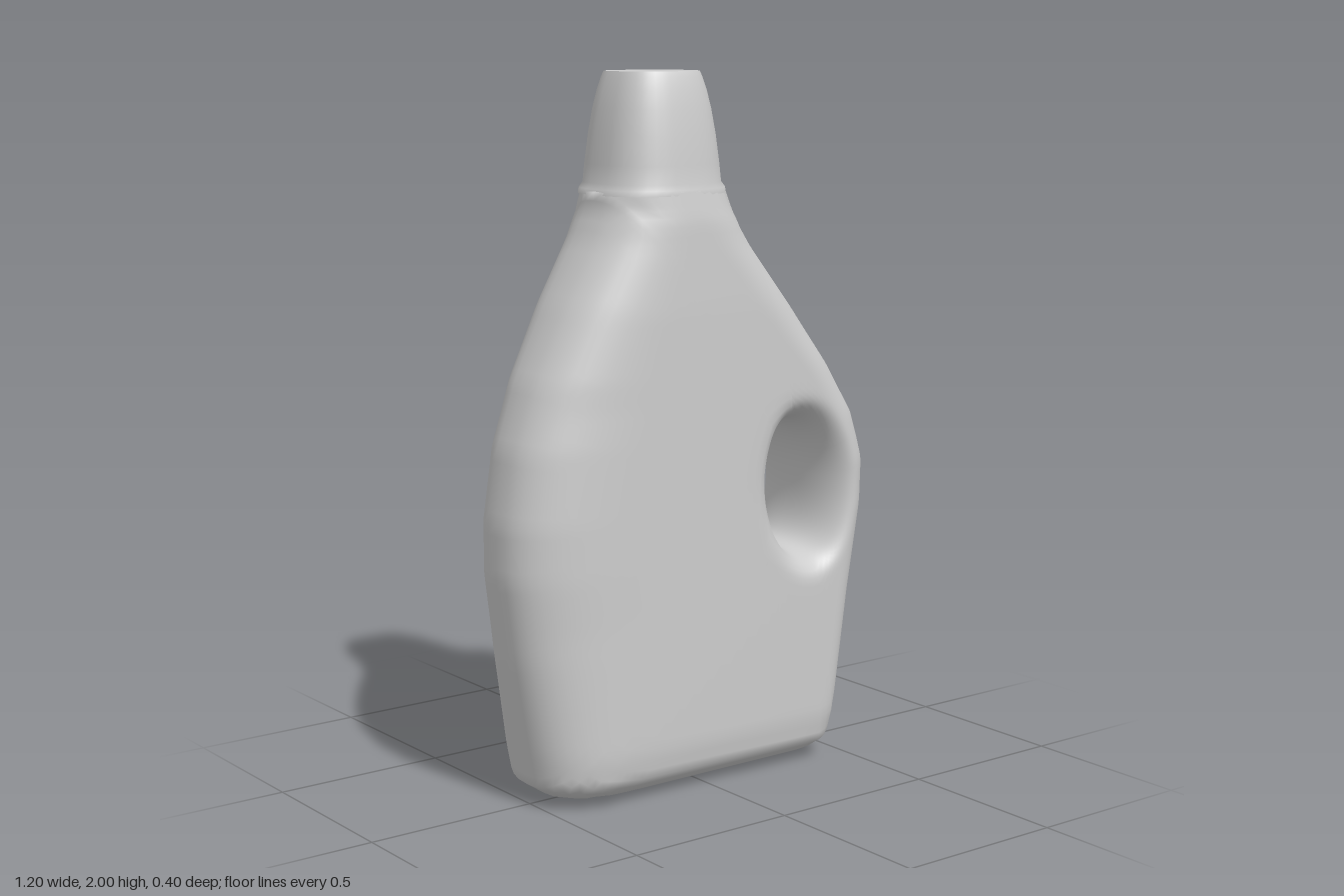
import * as THREE from 'three';
import { mergeVertices } from 'three/addons/utils/BufferGeometryUtils.js';

// Side outlines as [y, x], bottom to top
const LEFT = [[0, -0.3], [0.02, -0.45], [0.06, -0.51], [0.17, -0.53], [0.42, -0.57], [0.65, -0.6], [0.8, -0.6],
  [1.0, -0.57], [1.18, -0.51], [1.38, -0.41], [1.55, -0.31], [1.63, -0.275], [1.68, -0.27]];
const RIGHT = [[0, 0.4], [0.015, 0.455], [0.06, 0.48], [0.2, 0.505], [0.5, 0.55], [0.75, 0.595], [0.88, 0.6],
  [1.02, 0.56], [1.17, 0.47], [1.33, 0.35], [1.53, 0.19], [1.62, 0.14], [1.68, 0.12]];
// Half depth and edge rounding, by height
const DEPTH = [[0, 0.08], [0.02, 0.13], [0.06, 0.185], [0.14, 0.198], [1.35, 0.198], [1.6, 0.19], [1.68, 0.176]];
const ROUND_LEFT = [[0, 0.2], [0.5, 0.33], [1.1, 0.35], [1.68, 0.195]];
const ROUND_RIGHT = [[0, 0.1], [0.95, 0.12], [1.3, 0.18], [1.68, 0.195]];
const HOLE = { x: 0.337, y: 0.818, rx: 0.103, ry: 0.187, lean: 0.1 };

function lookup(table, y) {
  for (let i = 1; i < table.length; i++) {
    const [y0, v0] = table[i - 1], [y1, v1] = table[i];
    if (y <= y1) return v0 + (v1 - v0) * Math.max(0, (y - y0) / (y1 - y0));
  }
  return table[table.length - 1][1];
}

// Rounded edge: 0 at the rim, 1 at distance r and beyond
function roundOver(e, r, n = 2.5) {
  const s = 1 - Math.min(1, Math.max(0, e / r));
  return Math.pow(Math.max(0, 1 - Math.pow(s, n)), 1 / n);
}

function halfDepth(x, y, holeDistance) {
  return lookup(DEPTH, y)
    * roundOver(x - lookup(LEFT, y), lookup(ROUND_LEFT, y))
    * roundOver(lookup(RIGHT, y) - x, lookup(ROUND_RIGHT, y))
    * roundOver(holeDistance, 0.09, 2.2);
}

// Closed grid: rows of equal length, joined around both ways if wrapped
function gridGeometry(rows, wrapRows) {
  const n = rows[0].length, index = [];
  const last = wrapRows ? rows.length : rows.length - 1;
  for (let k = 0; k < last; k++) for (let j = 0; j < n; j++) {
    const k1 = (k + 1) % rows.length, j1 = (j + 1) % n;
    const a = k * n + j, b = k * n + j1, c = k1 * n + j1, d = k1 * n + j;
    index.push(a, b, c, a, c, d);
  }
  const g = new THREE.BufferGeometry();
  g.setAttribute('position', new THREE.Float32BufferAttribute(rows.flat(2), 3));
  g.setIndex(index);
  const merged = mergeVertices(g, 1e-5);
  merged.computeVertexNormals();
  return merged;
}

// Body: sections sweep around the handle hole, from its rim to the outline and back
function bodyGeometry() {
  const corners = [...RIGHT, ...[...LEFT].reverse()];
  const outline = [];
  corners.forEach(([y0, x0], i) => {
    const [y1, x1] = corners[(i + 1) % corners.length];
    const steps = Math.ceil(Math.hypot(x1 - x0, y1 - y0) / 0.035);
    for (let s = 0; s < steps; s++) outline.push([x0 + (x1 - x0) * s / steps, y0 + (y1 - y0) * s / steps]);
  });
  const M = 30;
  const rows = outline.map(([px, py]) => {
    const dx = px - HOLE.x, dy = py - HOLE.y, len = Math.hypot(dx, dy);
    const n = 2.2;
    const f = Math.pow(Math.pow(Math.abs(dx + HOLE.lean * dy) / HOLE.rx, n) + Math.pow(Math.abs(dy) / HOLE.ry, n), -1 / n);
    const front = [];
    for (let i = 0; i <= M; i++) {
      const t = f + (1 - f) * (1 - Math.cos(Math.PI * i / M)) / 2;
      const x = HOLE.x + dx * t, y = HOLE.y + dy * t;
      front.push([x, y, i === 0 ? 0 : halfDepth(x, y, (t - f) * len)]);
    }
    const back = front.slice(1).reverse().map(([x, y, z]) => [x, y, -z]);
    return [...front, ...back];
  });
  return gridGeometry(rows, true);
}

const CAP_X = -0.075, SIDES = 40;
function capRing(y, hx, hz) {
  const ring = [];
  for (let j = 0; j < SIDES; j++) {
    const a = j / SIDES * Math.PI * 2, c = Math.cos(a), s = Math.sin(a);
    const p = (v) => Math.sign(v) * Math.pow(Math.abs(v), 2 / 2.6);
    ring.push([CAP_X + hx * p(c), y, -hz * p(s)]);
  }
  return ring;
}

export function createModel() {
  const group = new THREE.Group();
  const material = new THREE.MeshStandardMaterial({ color: 0xcccccc });
  const add = (name, geometry) => {
    const mesh = new THREE.Mesh(geometry, material);
    mesh.name = name;
    group.add(mesh);
  };

  add('bodyWithHandle', bodyGeometry());

  // Tapered cap, rising from a small collar step
  const rings = [[1.67, 0.196, 0.177], [1.685, 0.193, 0.176], [1.7, 0.181, 0.169], [1.75, 0.176, 0.165], [1.83, 0.166, 0.156],
    [1.9, 0.154, 0.145], [1.95, 0.142, 0.134], [1.985, 0.131, 0.123], [2, 0.125, 0.116]];
  add('cap', gridGeometry(rings.map((r) => capRing(...r)), false));

  // Flat cap top
  const top = new THREE.ShapeGeometry(new THREE.Shape(
    capRing(2, 0.125, 0.116).map(([x, , z]) => new THREE.Vector2(x, -z))));
  top.rotateX(-Math.PI / 2).translate(0, 2, 0);
  add('capTop', top);
  return group;
}
